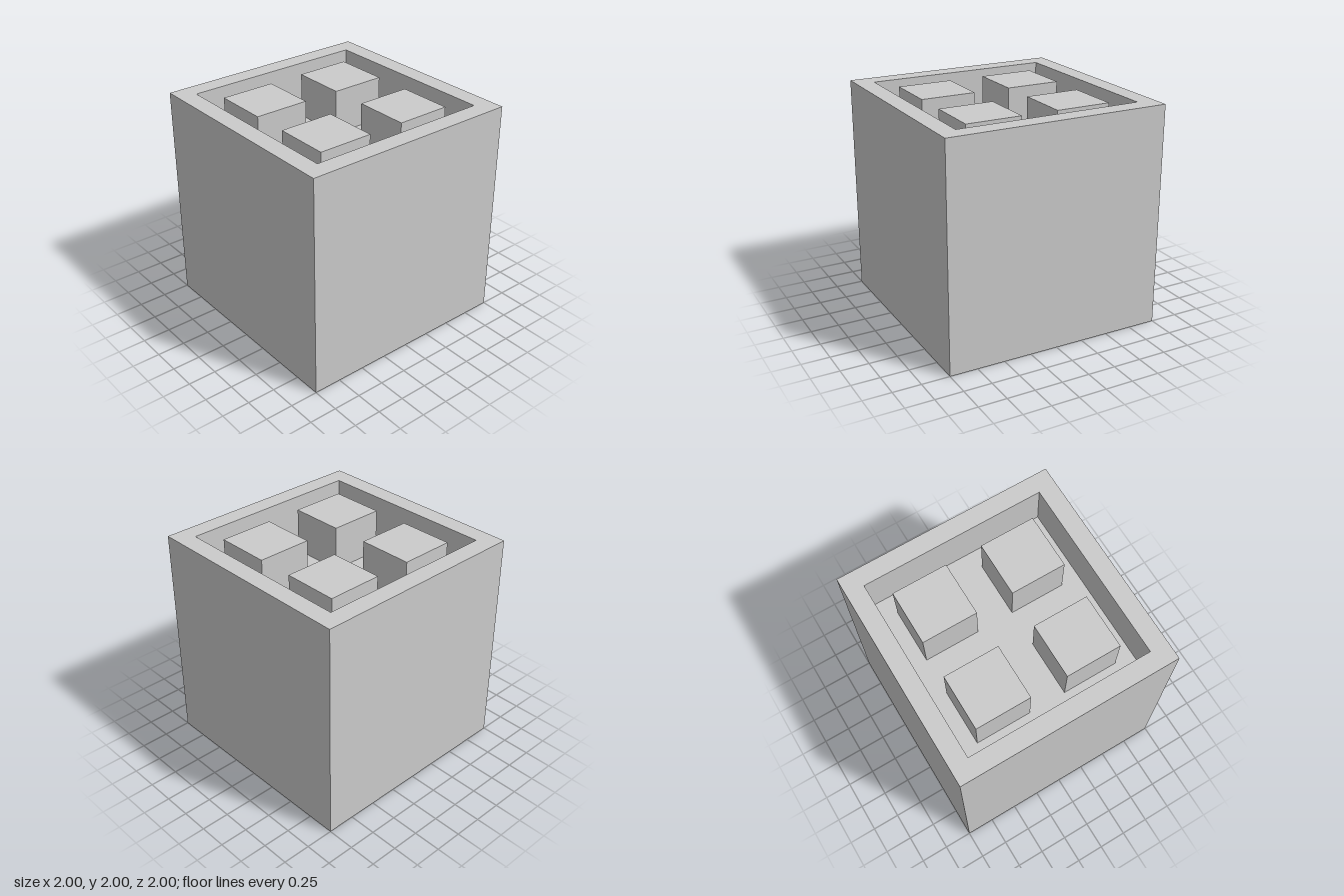
import * as THREE from 'three';

export function createModel() {
  const model = new THREE.Group();
  const material = new THREE.MeshStandardMaterial({ color: 0xcccccc, flatShading: true });

  const height = 2, floorY = 1.57, pillarTop = 1.975;
  const outer = 1, inner = 0.835;

  // Square body with a raised rim: a four-sided lathe of half-widths and heights
  const profile = [
    [0, 0], [outer, 0], [outer, height], [inner, height], [inner, floorY], [0, floorY],
  ].map(([halfWidth, y]) => new THREE.Vector2(halfWidth * Math.SQRT2, y));
  const bodyGeometry = new THREE.LatheGeometry(profile, 4, Math.PI / 4).toNonIndexed();
  bodyGeometry.computeVertexNormals();
  const body = new THREE.Mesh(bodyGeometry, material);
  body.name = 'body';
  model.add(body);

  // Four square pillars standing in the recess, just below the rim
  const pillarGeometry = new THREE.BoxGeometry(0.5, pillarTop - floorY, 0.5);
  for (const [xName, x] of [['Left', 1], ['Right', -1]]) {
    for (const [zName, z] of [['front', 1], ['back', -1]]) {
      const pillar = new THREE.Mesh(pillarGeometry, material);
      pillar.name = `${zName}${xName}Pillar`;
      pillar.position.set(x * 0.417, (pillarTop + floorY) / 2, z * 0.417);
      model.add(pillar);
    }
  }
  return model;
}
